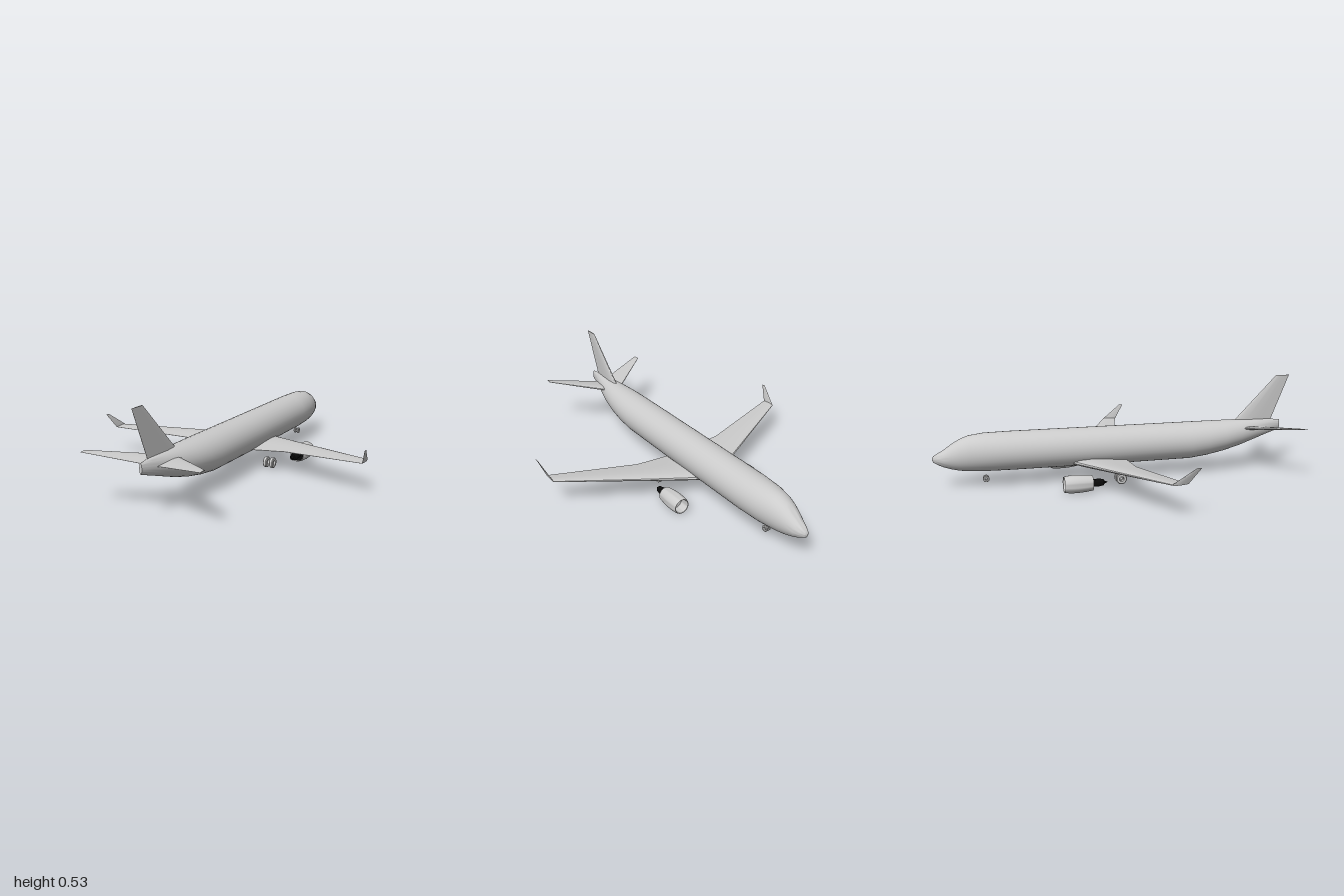
import * as THREE from 'three';
import { toCreasedNormals } from 'three/addons/utils/BufferGeometryUtils.js';

const V = (x, y, z) => new THREE.Vector3(x, y, z);
const grey = new THREE.MeshStandardMaterial({ color: 0xcccccc, side: THREE.DoubleSide });
const black = new THREE.MeshStandardMaterial({ color: 0x0a0a0a, side: THREE.DoubleSide });

// Skin a list of equal-length rings, cap both ends, and turn all faces outward
function loft(rings, crease = 0.6) {
  const n = rings[0].length, pts = rings.flat(), idx = [];
  for (let i = 0; i < rings.length - 1; i++)
    for (let j = 0; j < n; j++) {
      const a = i * n + j, b = i * n + (j + 1) % n;
      idx.push(a, b, b + n, a, b + n, a + n);
    }
  const last = (rings.length - 1) * n;
  for (let j = 1; j < n - 1; j++) idx.push(0, j + 1, j, last, last + j, last + j + 1);
  let volume = 0;
  for (let i = 0; i < idx.length; i += 3)
    volume += pts[idx[i]].dot(pts[idx[i + 1]].clone().cross(pts[idx[i + 2]]));
  if (volume < 0) idx.reverse();
  const g = new THREE.BufferGeometry().setFromPoints(pts);
  g.setIndex(idx);
  return toCreasedNormals(g, crease);
}

// Airfoil ring between leading and trailing edge, thickened along an axis
const FOIL = [[0, 0], [0.02, 0.2], [0.1, 0.38], [0.3, 0.5], [0.6, 0.36], [1, 0.03]];
function foil(le, te, thick, axis) {
  const at = ([c, t], s) => le.clone().lerp(te, c).addScaledVector(axis, s * t * thick);
  return [...FOIL.map(p => at(p, 1)), ...FOIL.slice(1).reverse().map(p => at(p, -1))];
}

// Body of revolution along z from [radius, z] pairs
const spin = (profile, seg = 32) => toCreasedNormals(
  new THREE.LatheGeometry(profile.map(p => new THREE.Vector2(...p)), seg).rotateX(Math.PI / 2), 0.6);

export function createModel() {
  const model = new THREE.Group();
  const add = (name, geometry, material = grey, parent = model) => {
    const mesh = new THREE.Mesh(geometry, material);
    mesh.name = name;
    parent.add(mesh);
    return mesh;
  };

  // Fuselage stations: z, half width, bottom, top
  const stations = [
    [-1, 0.003, 0.156, 0.164], [-0.992, 0.014, 0.142, 0.178], [-0.97, 0.027, 0.129, 0.191],
    [-0.94, 0.04, 0.115, 0.207], [-0.9, 0.054, 0.102, 0.235], [-0.86, 0.067, 0.093, 0.259],
    [-0.81, 0.08, 0.087, 0.278], [-0.73, 0.095, 0.083, 0.288], [-0.6, 0.105, 0.082, 0.29],
    [0, 0.105, 0.082, 0.29], [0.4, 0.105, 0.085, 0.29], [0.5, 0.101, 0.097, 0.29],
    [0.6, 0.091, 0.116, 0.29], [0.7, 0.073, 0.142, 0.29], [0.8, 0.047, 0.175, 0.289],
    [0.88, 0.026, 0.202, 0.286], [0.95, 0.007, 0.224, 0.278],
  ];
  add('fuselage', loft(stations.map(([z, w, lo, hi]) =>
    Array.from({ length: 36 }, (_, i) => {
      const a = i / 36 * Math.PI * 2;
      return V(w * Math.cos(a), (lo + hi) / 2 + (hi - lo) / 2 * Math.sin(a), z);
    })), 0.9));

  // Tail fin
  const X = V(1, 0, 0), Y = V(0, 1, 0);
  add('tailFin', loft([
    foil(V(0, 0.25, 0.64), V(0, 0.25, 0.885), 0.026, X),
    foil(V(0, 0.29, 0.68), V(0, 0.29, 0.9), 0.024, X),
    foil(V(0, 0.535, 0.92), V(0, 0.535, 1), 0.007, X),
  ]));

  for (const s of [1, -1]) {
    const side = s > 0 ? 'left' : 'right';

    // Wing
    const tip = foil(V(s * 0.745, 0.168, 0.075), V(s * 0.745, 0.168, 0.155), 0.01, Y);
    add(side + 'Wing', loft([
      foil(V(0, 0.108, -0.303), V(0, 0.108, 0.03), 0.046, Y),
      foil(V(s * 0.105, 0.115, -0.25), V(s * 0.105, 0.115, 0.03), 0.04, Y),
      foil(V(s * 0.27, 0.128, -0.166), V(s * 0.27, 0.128, 0.03), 0.03, Y),
      tip,
    ]));

    // Winglet
    add(side + 'Winglet', loft([
      tip,
      foil(V(s * 0.774, 0.25, 0.187), V(s * 0.774, 0.25, 0.21), 0.003, V(-s, 0, 0)),
    ]));

    // Horizontal stabilizer
    add(side + 'Stabilizer', loft([
      foil(V(0, 0.238, 0.666), V(0, 0.238, 0.853), 0.024, Y),
      foil(V(s * 0.065, 0.249, 0.72), V(s * 0.065, 0.249, 0.877), 0.019, Y),
      foil(V(s * 0.32, 0.289, 0.93), V(s * 0.32, 0.289, 0.97), 0.005, Y),
    ]));

    // Engine: hollow nacelle, fan face and dark exhaust core
    const engine = new THREE.Group();
    engine.name = side + 'Engine';
    engine.position.set(s * 0.24, 0.048, 0);
    model.add(engine);
    add('nacelle', spin([
      [0.036, -0.3], [0.036, -0.33], [0.038, -0.343], [0.041, -0.345], [0.044, -0.335], [0.047, -0.3],
      [0.047, -0.27], [0.044, -0.23], [0.039, -0.195], [0.037, -0.195], [0.038, -0.22], [0.036, -0.3],
    ]), grey, engine);
    add('fan', spin([[0, -0.29], [0.036, -0.29]]), grey, engine);
    add('exhaustCore', spin([
      [0.0375, -0.212], [0.018, -0.208], [0.018, -0.19], [0.021, -0.165], [0.016, -0.137],
      [0.009, -0.134], [0, -0.115],
    ]), black, engine);

    // Landing gear wheels: x, z, radius, width
    const wheels = [['outerMainWheel', 0.172, -0.025, 0.029, 0.021],
      ['innerMainWheel', 0.135, -0.025, 0.029, 0.021], ['noseWheel', 0.01, -0.725, 0.017, 0.011]];
    for (const [name, x, z, r, w] of wheels) {
      const h = w / 2, b = r * 0.14, hole = r * 0.45;
      const wheel = add(name, spin([
        [hole, -h], [r - b, -h], [r, b - h], [r, h - b], [r - b, h], [hole, h], [hole, -h],
      ], 24).rotateY(Math.PI / 2));
      wheel.position.set(s * x, 0.039, z);
    }
  }
  return model;
}
